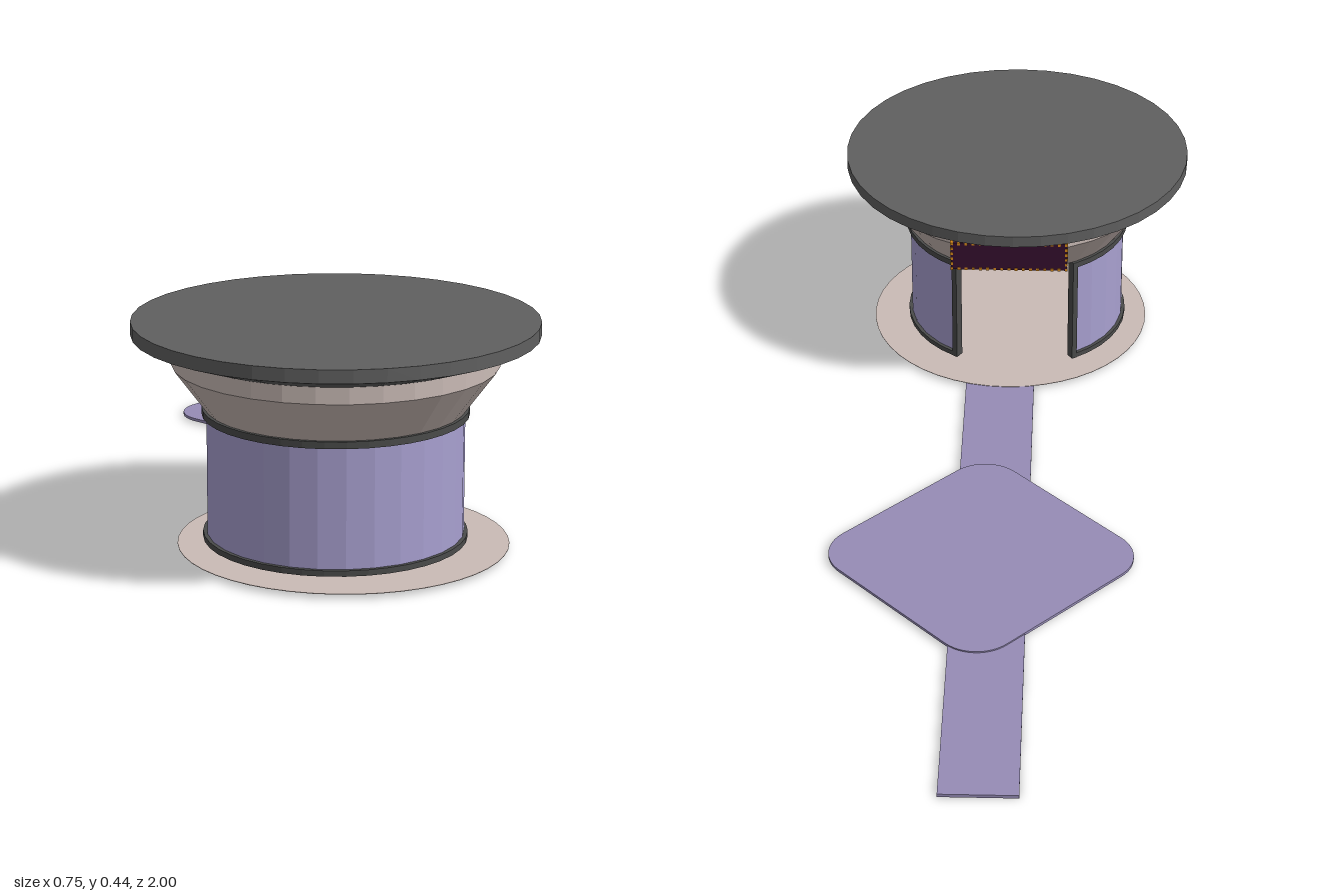
import * as THREE from 'three';

const mat = (name, color) => {
  const m = new THREE.MeshStandardMaterial({ color });
  m.name = name;
  return m;
};

export function createModel() {
  const roofGrey = mat('roof grey', 0x606060);
  const trimGrey = mat('trim grey', 0x4a4b4a);
  const beige = mat('beige', 0xcabbb6);
  const lilac = mat('lilac wall', 0xa8a0d0);
  const pathPurple = mat('path purple', 0x968cb6);
  const signDark = mat('sign plum', 0x35102f);
  const bulbGold = mat('bulb gold', 0xd98a1a);

  const model = new THREE.Group();
  model.name = 'roundPavilion';
  const hall = new THREE.Group();
  hall.name = 'hall';
  hall.position.z = 0.623;
  model.add(hall);

  const add = (parent, name, geo, material, x = 0, y = 0, z = 0) => {
    const mesh = new THREE.Mesh(geo, material);
    mesh.name = name;
    mesh.position.set(x, y, z);
    parent.add(mesh);
    return mesh;
  };

  // Faceted surface of revolution, open towards -z by a half angle of gap
  const turned = (profile, sides, gap = 0) => {
    const points = profile.map(([r, y]) => new THREE.Vector2(r, y));
    const lathe = new THREE.LatheGeometry(points, sides, gap - Math.PI, 2 * (Math.PI - gap));
    const geo = lathe.toNonIndexed();
    geo.computeVertexNormals();
    return geo;
  };
  const band = (inner, outer, y0, y1) =>
    [[outer, y0], [outer, y1], [inner, y1], [inner, y0], [outer, y0]];

  // Roof and flared collar
  add(hall, 'roof', turned([[0, 0.385], [0.305, 0.385], [0.377, 0.41], [0.377, 0.435], [0, 0.435]], 40), roofGrey);
  add(hall, 'collar', turned([[0, 0.269], [0.241, 0.269], [0.303, 0.353], [0.303, 0.386]], 32), beige);

  // Curved wall with its doorway at the back
  const gap = 0.57;
  add(hall, 'wall', turned(band(0.232, 0.24, 0.025, 0.262), 24, gap), lilac);
  add(hall, 'upperRing', turned(band(0.228, 0.248, 0.257, 0.27), 32, gap), trimGrey);
  add(hall, 'baseRing', turned(band(0.228, 0.247, 0.02, 0.031), 32, gap), trimGrey);
  for (const side of [-1, 1]) {
    const post = add(hall, 'doorPost', new THREE.BoxGeometry(0.012, 0.25, 0.02), trimGrey,
      side * 0.2375 * Math.sin(gap), 0.145, -0.2375 * Math.cos(gap));
    post.rotation.y = -side * gap;
  }

  // Floor disc
  const floor = new THREE.CylinderGeometry(0.31, 0.31, 0.001, 48);
  add(hall, 'floor', floor, beige, 0.015, 0.0085, 0);

  // Sign over the doorway, edged with small bulbs
  const sign = new THREE.Group();
  sign.name = 'sign';
  sign.position.set(0.01, 0.341, -0.3);
  hall.add(sign);
  const w = 0.25, h = 0.066;
  add(sign, 'signPanel', new THREE.BoxGeometry(w, h, 0.006), signDark);
  const bulbGeo = new THREE.BoxGeometry(0.006, 0.006, 0.009);
  for (let i = 0; i <= 16; i++) {
    for (const s of [-1, 1]) add(sign, 'signBulb', bulbGeo, bulbGold, (i / 16 - 0.5) * (w - 0.004), s * (h / 2 - 0.002));
  }
  for (let i = 1; i < 5; i++) {
    for (const s of [-1, 1]) add(sign, 'signBulb', bulbGeo, bulbGold, s * (w / 2 - 0.002), (i / 5 - 0.5) * (h - 0.004));
  }

  // Straight path
  add(model, 'path', new THREE.BoxGeometry(0.15, 0.007, 1.367), pathPurple, 0.03, 0.0035, -0.3165);

  // Rounded diamond plaza
  const a = 0.244, r = 0.085;
  const shape = new THREE.Shape();
  for (let i = 0; i < 4; i++) {
    const t = i * Math.PI / 2;
    const cx = (a - r) * Math.SQRT2 * Math.cos(t + Math.PI / 4);
    const cy = (a - r) * Math.SQRT2 * Math.sin(t + Math.PI / 4);
    shape.absarc(cx, cy, r, t, t + Math.PI / 2, false);
  }
  const plazaGeo = new THREE.ExtrudeGeometry(shape, { depth: 0.006, bevelEnabled: false, curveSegments: 8 });
  plazaGeo.rotateX(-Math.PI / 2).rotateY(Math.PI / 4);
  add(model, 'plaza', plazaGeo, pathPurple, 0.05, 0.004, -0.29);

  return model;
}
